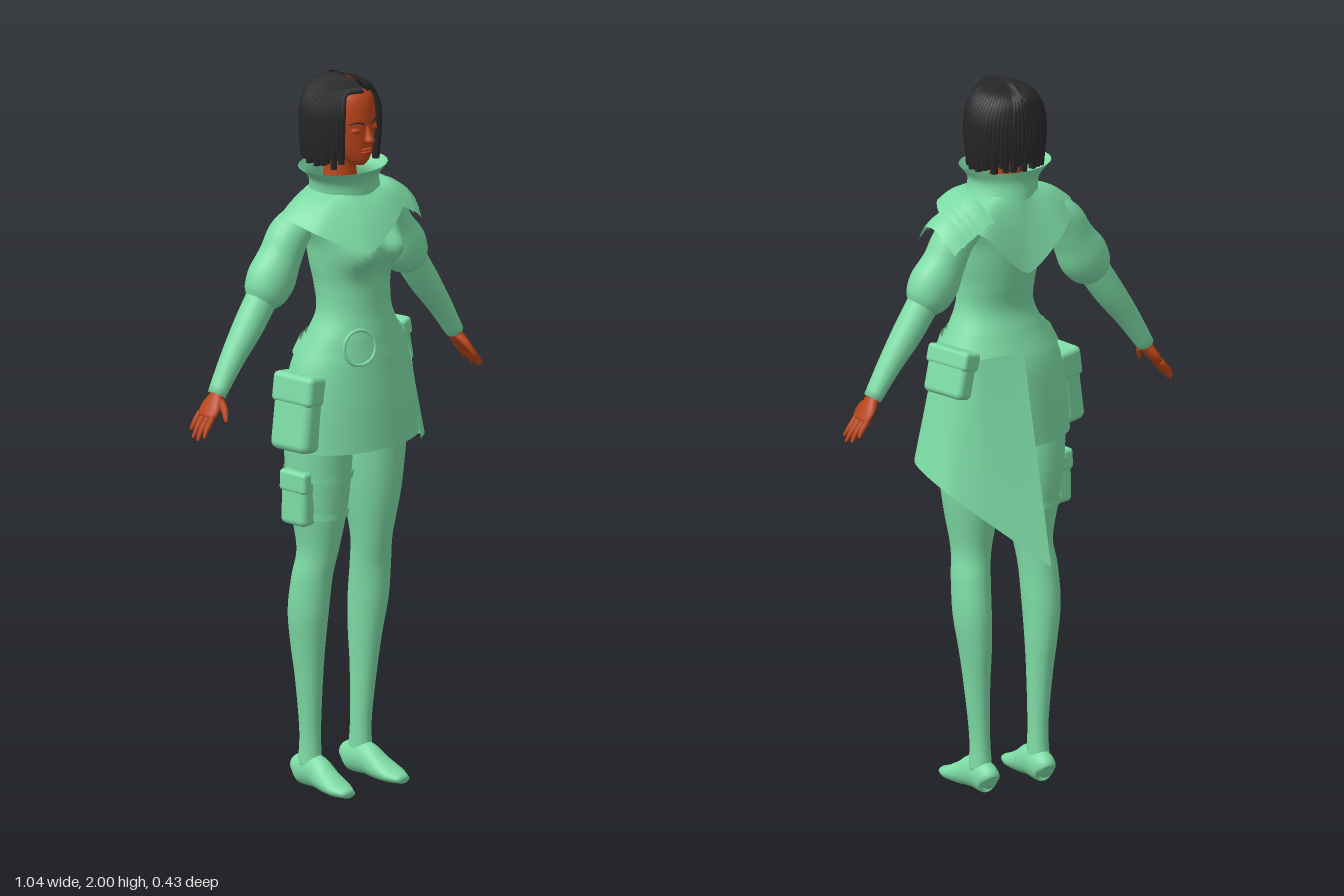
import * as THREE from 'three';
import { RoundedBoxGeometry } from 'three/addons/geometries/RoundedBoxGeometry.js';

const cloth = new THREE.MeshStandardMaterial({ color: 0x7ddba5, side: THREE.DoubleSide });
cloth.name = 'green cloth';
const skin = new THREE.MeshStandardMaterial({ color: 0xb9441a });
skin.name = 'skin';
const hairMat = new THREE.MeshStandardMaterial({ color: 0x262626, side: THREE.DoubleSide });
hairMat.name = 'black hair';

const V = (x, y, z) => new THREE.Vector3(x, y, z);
const X = V(1, 0, 0), Z = V(0, 0, 1), DOWN = V(0, -1, 0);

// Surface through rows of points
function loft(rows, closed = true) {
  const n = rows[0].length, pos = [], idx = [];
  rows.forEach(r => r.forEach(p => pos.push(p.x, p.y, p.z)));
  for (let i = 0; i < rows.length - 1; i++) {
    for (let j = 0; j < (closed ? n : n - 1); j++) {
      const k = (j + 1) % n, a = i * n + j, b = i * n + k;
      idx.push(a, b, a + n, b, b + n, a + n);
    }
  }
  const g = new THREE.BufferGeometry();
  g.setAttribute('position', new THREE.Float32BufferAttribute(pos, 3));
  g.setIndex(idx);
  g.computeVertexNormals();
  return g;
}

// Smooth elliptical limb through [x, y, z, radiusA, radiusB]; flat keeps rings level
function limb(pts, { ref = Z, flat = false, caps = true, n = 24, per = 5 } = {}) {
  const mid = new THREE.CatmullRomCurve3(pts.map(p => V(p[0], p[1], p[2])), false, 'catmullrom');
  const rad = new THREE.CatmullRomCurve3(pts.map(p => V(p[3], p[4], 0)), false, 'catmullrom');
  const rows = [], steps = (pts.length - 1) * per;
  const ring = (t, k) => {
    const c = mid.getPoint(t), r = rad.getPoint(t), d = flat ? DOWN : mid.getTangent(t);
    const u = ref.clone().cross(d).normalize(), v = d.clone().cross(u);
    rows.push(Array.from({ length: n }, (_, j) => {
      const a = j / n * Math.PI * 2;
      return c.clone().addScaledVector(u, k * r.x * Math.cos(a)).addScaledVector(v, k * r.y * Math.sin(a));
    }));
  };
  if (caps) ring(0, 0);
  for (let i = 0; i <= steps; i++) ring(i / steps, 1);
  if (caps) ring(1, 0);
  return loft(rows);
}

// Cloth sheet between two edge curves, bulged by a function of t
function sheet(top, bottom, closed, n, bulge) {
  const curve = p => new THREE.CatmullRomCurve3(p.map(q => V(...q)), closed, 'catmullrom', 0.35);
  const a = curve(top), b = curve(bottom), rows = [];
  for (let i = 0; i <= 8; i++) {
    rows.push(Array.from({ length: n }, (_, j) => {
      const s = closed ? j / n : j / (n - 1);
      const p = a.getPoint(s).lerp(b.getPoint(s), i / 8);
      p.y += bulge * Math.sin(i / 8 * Math.PI);
      return p;
    }));
  }
  return loft(rows, closed);
}

export function createModel() {
  const model = new THREE.Group();
  const add = (name, geo, mat, p = [0, 0, 0], r = [0, 0, 0], s = [1, 1, 1]) => {
    const m = new THREE.Mesh(geo, mat);
    m.name = name;
    m.position.set(...p); m.rotation.set(...r); m.scale.set(...s);
    model.add(m);
    return m;
  };

  // Torso, with the bust pushed forward
  const torso = limb([[0, 1.7, .04, .065, .065], [0, 1.67, .045, .115, .085], [0, 1.62, .05, .16, .1],
    [0, 1.55, .06, .132, .105], [0, 1.48, .065, .12, .1], [0, 1.42, .072, .11, .095], [0, 1.35, .08, .112, .09],
    [0, 1.28, .075, .143, .106], [0, 1.2, .065, .175, .12], [0, 1.1, .06, .18, .12], [0, 1, .05, .15, .1]],
  { flat: true, n: 48 });
  const tp = torso.attributes.position;
  for (let i = 0; i < tp.count; i++) {
    if (tp.getZ(i) < .08) continue;
    let z = tp.getZ(i);
    for (const s of [-1, 1]) {
      z += .06 * Math.exp(-(((tp.getX(i) - s * .058) / .05) ** 2) - ((tp.getY(i) - 1.535) / .055) ** 2);
    }
    tp.setZ(i, z);
  }
  torso.computeVertexNormals();
  add('torso', torso, cloth);

  // Collar and shawl with a pointed back
  add('collar', limb([[-.02, 1.755, .058, .132, .108], [-.01, 1.72, .05, .1, .092], [0, 1.675, .045, .1, .095]],
    { flat: true, caps: false, n: 36 }), cloth);
  const neckRing = [-25, 20, 55, 95, 140, 180, 220, 265, 310].map(d => {
    const a = d * Math.PI / 180;
    return [.095 * Math.sin(a), 1.69, .045 + .09 * Math.cos(a)];
  });
  add('shawl', sheet(neckRing, [[-.07, 1.545, .218], [.06, 1.61, .19], [.15, 1.655, .13], [.2, 1.645, .03],
    [.13, 1.6, -.075], [0, 1.48, -.09], [-.13, 1.58, -.078], [-.205, 1.63, .02], [-.18, 1.6, .13]],
  true, 60, .012), cloth);

  // Layered plates over the left shoulder
  for (let i = 0; i < 4; i++) {
    const edge = (x, y) => Array.from({ length: 9 }, (_, j) => {
      const t = j / 4 - 1;
      return [x - .02 * t * t, y - .06 * t * t, .02 + .09 * t];
    });
    add('shoulderPlate', sheet(edge(.115 + i * .028, 1.695 - i * .014), edge(.16 + i * .027, 1.675 - i * .018),
      false, 25, .004), cloth);
  }

  // Skirt, belt and ring buckle
  add('skirt', limb([[0, 1.29, .075, .145, .108], [0, 1.2, .065, .185, .128], [0, 1.1, .065, .203, .14],
    [0, .98, .065, .212, .15]], { flat: true, caps: false, n: 48 }), cloth);
  add('belt', limb([[0, 1.275, .073, .16, .119], [0, 1.235, .068, .179, .129]],
    { flat: true, caps: false, n: 48, per: 2 }), cloth);
  add('ringBuckle', new THREE.TorusGeometry(.048, .005, 8, 32), cloth, [-.07, 1.27, .18], [-.12, -.25, 0]);

  // Overskirt sweeping round the left side into a long tail
  add('overskirt', sheet([[.13, 1.21, .168], [.19, 1.22, .08], [.185, 1.23, .01], [.13, 1.24, -.04], [0, 1.25, -.068]],
    [[.135, .975, .2], [.255, .94, .08], [.235, .885, -.05], [.155, .81, -.12], [.005, .68, -.215]],
    false, 33, 0), cloth);

  // Pouches with flaps
  const pouch = (name, p, r, [w, h, d]) => {
    const g = new THREE.Group();
    g.name = name;
    g.position.set(...p); g.rotation.set(...r);
    const body = new THREE.Mesh(new RoundedBoxGeometry(w, h, d, 3, w * .3), cloth);
    body.name = 'pouchBody';
    const flap = new THREE.Mesh(new RoundedBoxGeometry(w * 1.1, h * .4, d * 1.06, 3, w * .2), cloth);
    flap.name = 'pouchFlap';
    flap.position.y = h * .32;
    g.add(body, flap);
    model.add(g);
  };
  pouch('rightHipPouch', [-.2, 1.09, .075], [0, .15, -.14], [.075, .21, .13]);
  pouch('rightThighPouch', [-.175, .84, .05], [0, .1, -.02], [.055, .15, .09]);
  pouch('leftHipPouch', [.187, 1.205, .005], [0, .25, .25], [.055, .13, .14]);
  for (const y of [.9, .79]) {
    const k = (y - .79) * .12;
    add('thighStrap', limb([[-.097, y + .01, .045, .077 + k, .088 + k], [-.097, y - .01, .045, .076 + k, .087 + k]],
      { flat: true, caps: false, per: 1 }), cloth);
  }

  for (const s of [-1, 1]) {
    const side = s > 0 ? 'left' : 'right';
    const m = pts => pts.map(p => [p[0] * s, ...p.slice(1)]);

    // Legs and feet
    add(side + 'Leg', limb(m([[.1, 1.05, .05, .09, .1], [.098, .92, .045, .086, .097], [.097, .8, .045, .073, .085],
      [.098, .68, .043, .053, .063], [.107, .6, .03, .052, .06], [.11, .5, .018, .05, .062], [.105, .4, .011, .042, .053],
      [.1, .3, .01, .034, .042], [.093, .15, .007, .027, .032], [.092, .05, .005, .031, .037]]), { flat: true }), cloth);
    const foot = limb(m([[.09, .032, -.045, .022, .02], [.09, .04, -.03, .042, .033], [.091, .046, .03, .046, .034],
      [.095, .03, .08, .034, .037], [.099, .018, .13, .021, .038], [.1, .012, .172, .011, .02]]), { ref: X });
    const fp = foot.attributes.position;
    for (let i = 0; i < fp.count; i++) fp.setY(i, Math.max(0, fp.getY(i)));
    foot.computeVertexNormals();
    add(side + 'Foot', foot, cloth);

    // Puffed sleeve, cuff and forearm
    add(side + 'Sleeve', limb(m([[.13, 1.61, .015, .045, .055], [.175, 1.575, .012, .056, .058],
      [.205, 1.52, .01, .06, .058], [.237, 1.465, .01, .071, .062], [.262, 1.425, .01, .062, .056],
      [.276, 1.403, .01, .044, .042]])), cloth);
    add(side + 'Forearm', limb(m([[.255, 1.44, .01, .045, .043], [.32, 1.345, .008, .042, .042],
      [.38, 1.262, .007, .033, .034], [.436, 1.175, .007, .024, .027]])), cloth);

    // Hand with fingers and thumb
    add(side + 'Palm', limb(m([[.42, 1.198, .008, .016, .02], [.436, 1.172, .008, .016, .024],
      [.456, 1.143, .006, .014, .035], [.474, 1.118, .006, .01, .032]]), { n: 16 }), skin);
    [[-.023, .5, 1.082], [-.005, .511, 1.066], [.014, .515, 1.063], [.031, .508, 1.073]].forEach(([z, x, y]) =>
      add(side + 'Finger', limb(m([[.468, 1.127, z, .008, .008], [(.47 + x) / 2 + .003, (1.122 + y) / 2, z, .008, .008],
        [x, y, z * 1.15, .004, .004]]), { n: 8, per: 3 }), skin));
    add(side + 'Thumb', limb(m([[.437, 1.165, .02, .011, .011], [.445, 1.143, .048, .01, .01],
      [.455, 1.115, .066, .005, .005]]), { n: 8, per: 3 }), skin);

    // Eyelid, brow and ear
    const ball = new THREE.SphereGeometry(1, 16, 10);
    add(side + 'Eye', ball, skin, [s * .031, 1.862, .124], [0, s * .35, 0], [.016, .009, .009]);
    add(side + 'Brow', new THREE.TubeGeometry(new THREE.CatmullRomCurve3([V(s * .014, 1.88, .138),
      V(s * .032, 1.886, .131), V(s * .05, 1.88, .114)]), 8, .002, 5), hairMat);
    add(side + 'Ear', ball, skin, [s * .075, 1.845, .025], [0, 0, s * -.15], [.009, .03, .018]);

    // Braided strands falling from the parting
    for (let i = 0; i < 24; i++) {
      const f = i / 23, a = (40 + 140 * f) * Math.PI / 180;
      const sx = s * Math.sin(a), cz = Math.cos(a), end = 1.77 + .016 * Math.sin(i * 2.4) + .012 * f;
      const zTop = .118 - .13 * f;
      add('hairStrand', new THREE.TubeGeometry(new THREE.CatmullRomCurve3([
        V(s * .002, 1.972 + .016 * Math.sin(Math.min(1, f * 2) * Math.PI / 2), zTop),
        V(sx * .068, 1.962, .028 + cz * .085), V(sx * .097, 1.915, .027 + cz * .1),
        V(sx * .103, 1.85, .026 + cz * .102), V(sx * .097, end, .026 + cz * .094)]), 16, .0105, 6), hairMat);
    }
  }

  // Head, neck, nose and lips
  add('neck', limb([[0, 1.82, .03, .045, .05], [0, 1.74, .025, .042, .045], [0, 1.65, .03, .055, .055]],
    { flat: true }), skin);
  add('head', limb([[0, 1.985, .03, .03, .04], [0, 1.955, .03, .068, .092], [0, 1.9, .033, .077, .104],
    [0, 1.85, .04, .073, .096], [0, 1.805, .06, .058, .073], [0, 1.775, .083, .036, .046], [0, 1.758, .095, .016, .022]],
  { flat: true, n: 32 }), skin);
  add('nose', limb([[0, 1.875, .132, .006, .006], [0, 1.85, .138, .009, .012], [0, 1.833, .143, .014, .015],
    [0, 1.825, .138, .008, .008]], { flat: true, n: 12 }), skin);
  for (const y of [1.806, 1.798]) {
    add('lip', new THREE.SphereGeometry(1, 14, 8), skin, [0, y, .131], [0, 0, 0], [.019, .005, .008]);
  }

  // Scalp cap under the strands
  add('hairCap', new THREE.SphereGeometry(1, 32, 20, 0, Math.PI * 2, 0, Math.PI * .5), hairMat,
    [0, 1.885, .025], [-.75, 0, 0], [.095, .105, .102]);

  return model;
}
